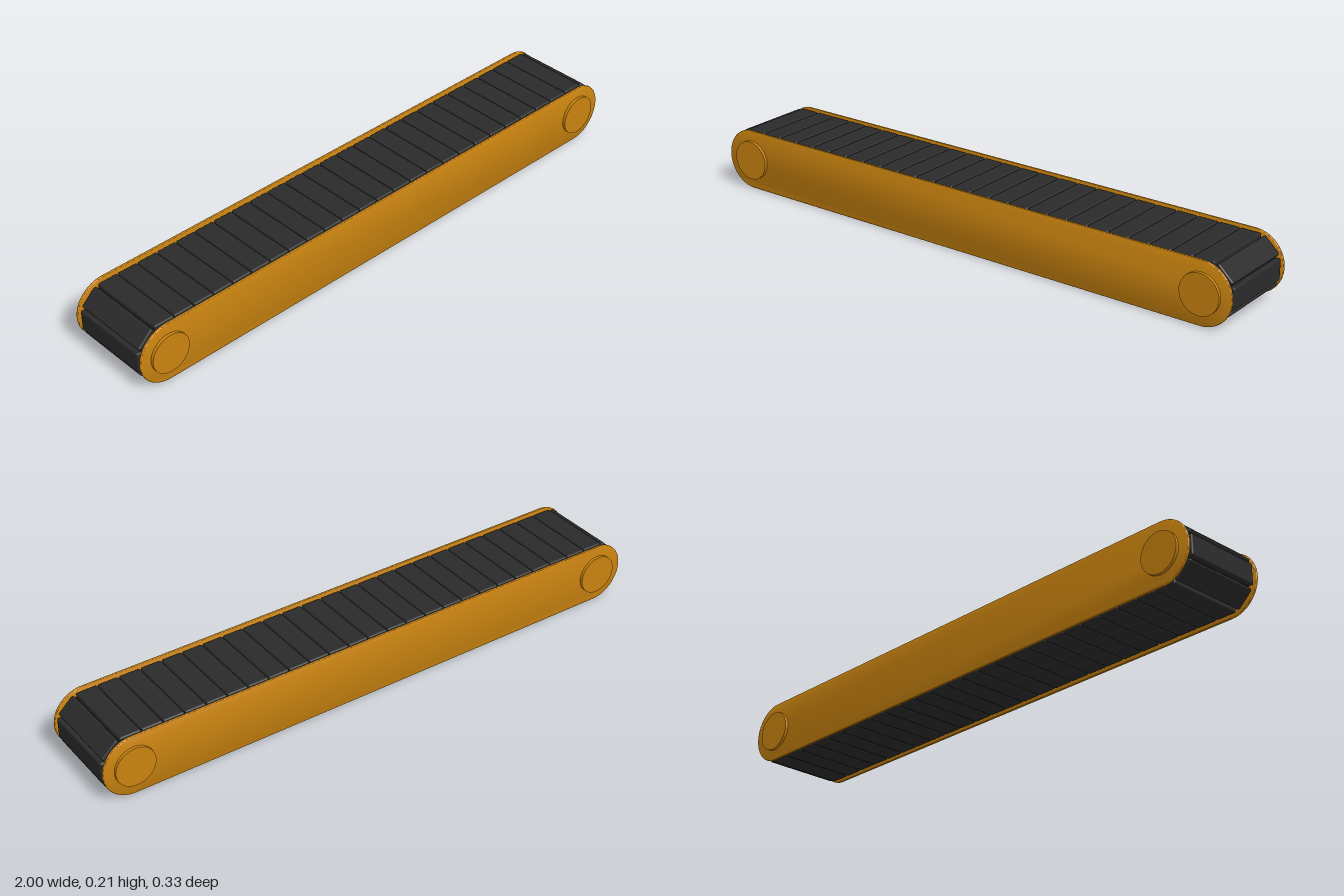
import * as THREE from 'three';
import { toCreasedNormals } from 'three/addons/utils/BufferGeometryUtils.js';
import { RoundedBoxGeometry } from 'three/addons/geometries/RoundedBoxGeometry.js';

const AXLE_X = 0.895; // distance of each end axle from the middle
const AXLE_Y = 0.106;

const orange = new THREE.MeshStandardMaterial({ color: 0xc8820f });
const black = new THREE.MeshStandardMaterial({ color: 0x2a2a2a });

// Slab with a stadium outline, centred on z, with optionally rounded rims
function stadium(name, radius, depth, bevel, material) {
  const r = radius - bevel;
  const shape = new THREE.Shape();
  shape.absarc(AXLE_X, 0, r, -Math.PI / 2, Math.PI / 2);
  shape.absarc(-AXLE_X, 0, r, Math.PI / 2, Math.PI * 1.5);
  shape.closePath();
  const geometry = new THREE.ExtrudeGeometry(shape, {
    depth: depth - 2 * bevel, curveSegments: 32,
    bevelEnabled: bevel > 0, bevelSize: bevel, bevelThickness: bevel, bevelSegments: 4,
  });
  geometry.translate(0, AXLE_Y, bevel - depth / 2);
  const mesh = new THREE.Mesh(toCreasedNormals(geometry, 0.6), material);
  mesh.name = name;
  return mesh;
}

// Point and outward angle at distance s along the belt loop, from the +x tip
function loopPoint(s, radius) {
  const quarter = radius * Math.PI / 2, straight = 2 * AXLE_X;
  const half = 2 * quarter + straight;
  const flip = s >= half;
  const t = flip ? s - half : s;
  let x, y, angle;
  if (t > quarter && t < quarter + straight) {
    angle = Math.PI / 2;
    x = AXLE_X - (t - quarter);
    y = radius;
  } else {
    const first = t <= quarter;
    angle = (first ? t : t - straight) / radius;
    x = (first ? AXLE_X : -AXLE_X) + radius * Math.cos(angle);
    y = radius * Math.sin(angle);
  }
  return flip ? { x: -x, y: -y, angle: angle + Math.PI } : { x, y, angle };
}

export function createModel() {
  const model = new THREE.Group();
  model.name = 'conveyor';

  // Inner frame and the belt backing seen between the slats
  model.add(stadium('innerFrame', 0.082, 0.296, 0, orange));
  model.add(stadium('beltBacking', 0.09, 0.264, 0, black));

  // Side panels with round axle caps
  const capGeometry = new THREE.CylinderGeometry(0.068, 0.068, 0.02, 48).rotateX(Math.PI / 2);
  for (const side of [1, -1]) {
    const panel = stadium('sidePanel', 0.105, 0.01, 0.0045, orange);
    panel.position.z = side * 0.15;
    model.add(panel);
    for (const end of [1, -1]) {
      const cap = new THREE.Mesh(capGeometry, orange);
      cap.name = 'axleCap';
      cap.position.set(end * AXLE_X, AXLE_Y, side * 0.155);
      model.add(cap);
    }
  }

  // Rounded slats running around the loop
  const belt = new THREE.Group();
  belt.name = 'slatBelt';
  const count = 56, radius = 0.091;
  const length = 4 * AXLE_X + 2 * Math.PI * radius;
  const slatGeometry = new RoundedBoxGeometry(0.02, 0.072, 0.272, 3, 0.006);
  for (let i = 0; i < count; i++) {
    const p = loopPoint(i * length / count, radius);
    const slat = new THREE.Mesh(slatGeometry, black);
    slat.name = 'slat';
    slat.position.set(p.x, AXLE_Y + p.y, 0);
    slat.rotation.z = p.angle;
    belt.add(slat);
  }
  model.add(belt);
  return model;
}
